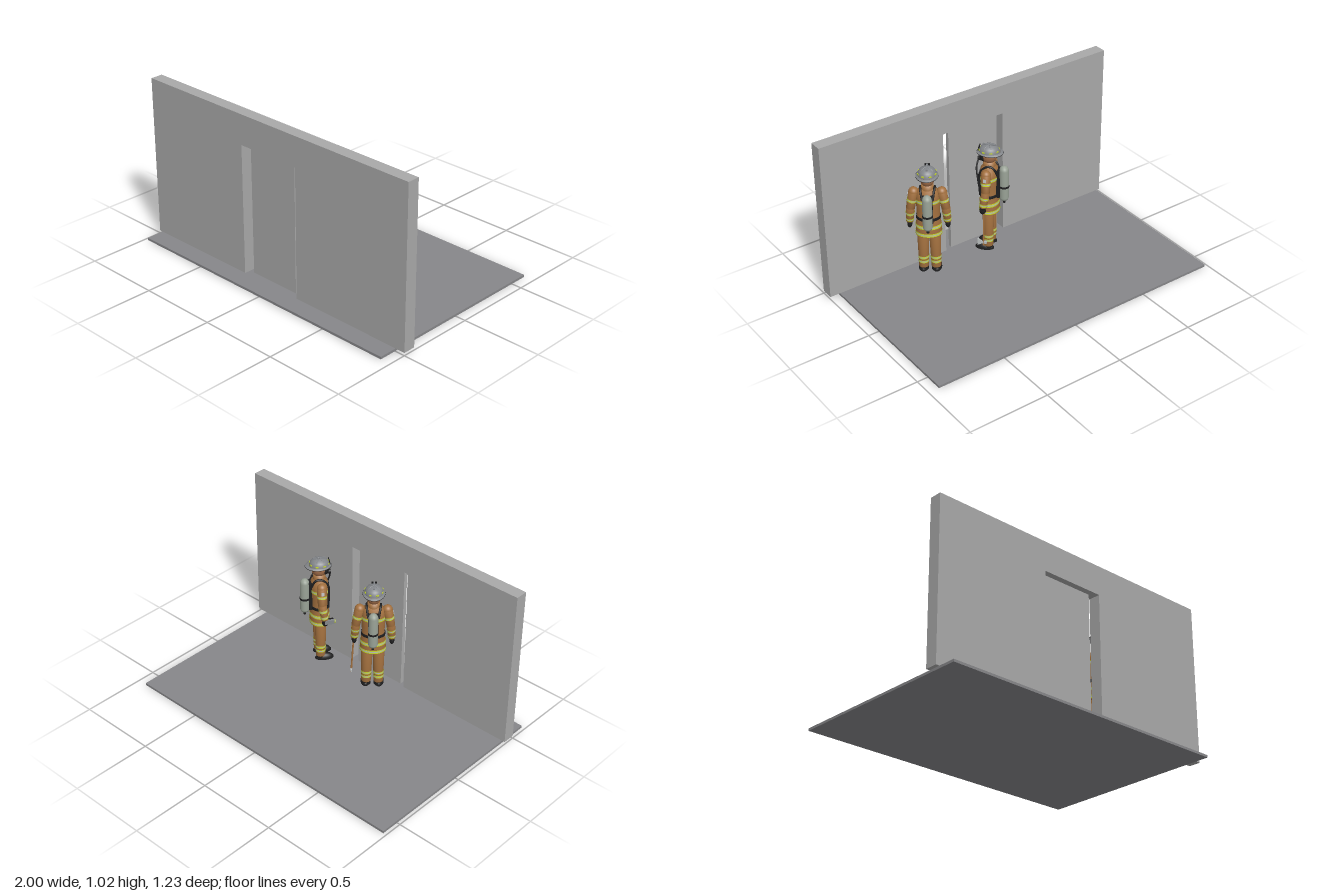
import * as THREE from 'three';

const paint = (name, color) => {
  const m = new THREE.MeshStandardMaterial({ color });
  m.name = name;
  return m;
};
const M = {
  wall: paint('wall grey', 0xa9a9a9),
  floor: paint('floor grey', 0x87878a),
  tan: paint('coat tan', 0xa4713f),
  skin: paint('skin brown', 0xa06c48),
  black: paint('black', 0x1f1f20),
  lime: paint('reflective lime', 0xc6d92a),
  silver: paint('reflective silver', 0xb9bdbd),
  helmet: paint('helmet grey', 0x84878b),
  tank: paint('tank green grey', 0x9aa397),
};
M.silver.side = M.lime.side = THREE.DoubleSide;

function add(parent, name, geo, mat, x = 0, y = 0, z = 0) {
  const mesh = new THREE.Mesh(geo, mat);
  mesh.name = name;
  mesh.position.set(x, y, z);
  parent.add(mesh);
  return mesh;
}
const box = (w, h, d) => new THREE.BoxGeometry(w, h, d);
const V = (x, y, z) => new THREE.Vector3(x, y, z);

// Lathe with an oval cross-section
const oval = (pts, sx = 1, sz = 1) =>
  new THREE.LatheGeometry(pts.map(p => new THREE.Vector2(p[0], p[1])), 32).scale(sx, 1, sz);

// Radius of a profile at height y
function radiusAt(pts, y) {
  for (let i = 1; i < pts.length; i++) {
    const [r0, y0] = pts[i - 1], [r1, y1] = pts[i];
    if (y <= y1 && y1 > y0) return r0 + (r1 - r0) * (y - y0) / (y1 - y0);
  }
  return pts[pts.length - 1][0];
}

// Lime, silver, lime reflective trim around a profile
function trim(parent, pts, y, h, sx, sz) {
  [M.lime, M.silver, M.lime].forEach((mat, i) => {
    const a = y + (i - 1.5) * h / 3, b = a + h / 3;
    const out = 0.0016 / sx;
    add(parent, 'reflectiveTrim',
      oval([[radiusAt(pts, a) + out, a], [radiusAt(pts, b) + out, b]], sx, sz), mat);
  });
}

// A group running upward from a to b, holding a tapered limb with trim
function limb(parent, name, a, b, ra, rb, mat, trims = []) {
  const g = new THREE.Group();
  g.name = name;
  g.position.copy(a);
  const dir = b.clone().sub(a), len = dir.length();
  g.quaternion.setFromUnitVectors(V(0, 1, 0), dir.normalize());
  const pts = [[0, 0], [ra, 0], [rb, len], [0, len]];
  add(g, name + 'Sleeve', oval(pts), mat);
  trims.forEach(t => trim(g, [[ra, 0], [rb, len]], t * len, 0.018, 1, 1));
  parent.add(g);
  return g;
}

function headAndHelmet(f) {
  add(f, 'collar', oval([[0.034, 0.575], [0.038, 0.58], [0.036, 0.612], [0, 0.613]]), M.tan);
  add(f, 'head', new THREE.SphereGeometry(1, 28, 20).scale(0.042, 0.052, 0.046), M.skin, 0, 0.648, 0);
  // Breathing mask
  add(f, 'mask', new THREE.SphereGeometry(1, 24, 16).scale(0.034, 0.036, 0.026), M.black, 0, 0.642, 0.032);
  const valve = add(f, 'maskValve', new THREE.CylinderGeometry(0.013, 0.015, 0.018, 20), M.black, 0, 0.622, 0.06);
  valve.rotation.x = Math.PI / 2;
  // Helmet dome with a brim that runs long at the back
  add(f, 'helmetDome', oval([[0.056, 0.674], [0.054, 0.69], [0.046, 0.704], [0.031, 0.715], [0.014, 0.72], [0, 0.721]], 1, 1.1), M.helmet);
  add(f, 'helmetBrim', oval([[0, 0.67], [0.066, 0.67], [0.067, 0.673], [0.055, 0.679]], 0.98, 1.2), M.helmet, 0, 0, -0.006);
  add(f, 'brimEdge', new THREE.TorusGeometry(0.066, 0.002, 8, 40).rotateX(Math.PI / 2).scale(0.98, 1, 1.2), M.black, 0, 0.671, -0.006);
  // Ridges over the dome
  for (let i = 0; i < 3; i++) {
    const ridge = new THREE.TorusGeometry(0.05, 0.003, 8, 28, Math.PI).scale(1.06, 0.94, 1.1);
    const r = add(f, 'helmetRidge', ridge, M.helmet, 0, 0.676, 0);
    r.rotation.y = Math.PI / 2 + (i - 1) * Math.PI / 3;
  }
  add(f, 'helmetCrest', box(0.01, 0.008, 0.075), M.helmet, 0, 0.721, 0);
  add(f, 'helmetShield', box(0.03, 0.034, 0.005), M.black, 0, 0.695, 0.061).rotation.x = -0.25;
  for (let i = 0; i < 8; i++) {
    const a = (i + 0.5) * Math.PI / 4;
    const tab = add(f, 'helmetSticker', box(0.017, 0.007, 0.004), M.lime, Math.sin(a) * 0.0545, 0.688, Math.cos(a) * 0.06);
    tab.rotation.y = a;
  }
}

function firefighter(name) {
  const f = new THREE.Group();
  f.name = name;

  // Coat with flared skirt
  const coat = [[0.9, 0.272], [1, 0.272], [0.96, 0.345], [0.86, 0.39], [0.88, 0.45], [0.92, 0.52], [0.82, 0.565], [0.45, 0.592], [0, 0.595]];
  const sx = 0.078, sz = 0.062;
  add(f, 'coat', oval([[0, 0.272], ...coat], sx, sz), M.tan);
  [0.288, 0.338, 0.508].forEach(y => trim(f, coat.slice(1), y, 0.022, sx, sz));
  add(f, 'belt', oval([[0.88, 0.382], [0.93, 0.383], [0.93, 0.4], [0.88, 0.401]], sx, sz), M.black);
  add(f, 'coatClosure', box(0.014, 0.17, 0.006), M.black, 0, 0.46, 0.054);

  for (const s of [1, -1]) {
    // Trouser leg and boot
    limb(f, 'leg', V(s * 0.037, 0.04, 0), V(s * 0.035, 0.3, 0), 0.029, 0.036, M.tan, [0.16, 0.27]);
    add(f, 'bootShaft', new THREE.CylinderGeometry(0.026, 0.028, 0.04, 24), M.black, s * 0.037, 0.037, 0);
    add(f, 'bootFoot', new THREE.SphereGeometry(1, 24, 14, 0, Math.PI * 2, 0, Math.PI / 2).scale(0.028, 0.034, 0.056), M.black, s * 0.04, 0.018, 0.023);
    add(f, 'bootSole', new THREE.CylinderGeometry(1, 1, 0.008, 28).scale(0.03, 1, 0.058), M.black, s * 0.04, 0.019, 0.023);

    // Arm and glove
    const shoulder = V(s * 0.082, 0.558, 0), elbow = V(s * 0.103, 0.45, -0.002), wrist = V(s * 0.111, 0.35, 0.013);
    add(f, 'shoulder', new THREE.SphereGeometry(0.03, 24, 16), M.tan).position.copy(shoulder);
    add(f, 'elbow', new THREE.SphereGeometry(0.026, 20, 14), M.tan).position.copy(elbow);
    limb(f, 'upperArm', elbow, shoulder, 0.026, 0.03, M.tan, [0.5]);
    limb(f, 'forearm', wrist, elbow, 0.022, 0.026, M.tan, [0.18, 0.62]);
    add(f, 'gloveCuff', new THREE.CylinderGeometry(0.018, 0.016, 0.02, 20), M.black, s * 0.111, 0.345, 0.013);
    add(f, 'glove', new THREE.SphereGeometry(1, 20, 14).scale(0.015, 0.026, 0.02), M.black, s * 0.112, 0.328, 0.015);
    const patch = add(f, 'sleevePatch', box(0.003, 0.02, 0.018), M.silver, s * 0.1185, 0.537, 0);
    patch.rotation.z = s * 0.19;

    // Harness strap over the shoulder
    const strap = new THREE.CatmullRomCurve3([
      V(s * 0.03, 0.53, -0.058), V(s * 0.04, 0.585, -0.03), V(s * 0.042, 0.59, 0.005),
      V(s * 0.042, 0.545, 0.047), V(s * 0.045, 0.47, 0.049), V(s * 0.048, 0.395, 0.046)]);
    add(f, 'harnessStrap', new THREE.TubeGeometry(strap, 24, 0.007, 8), M.black);
  }

  // Air tank on its back plate
  add(f, 'backPlate', box(0.06, 0.185, 0.022), M.black, 0, 0.467, -0.057);
  add(f, 'airTank', oval([[0, 0.345], [0.012, 0.347], [0.023, 0.355], [0.029, 0.37], [0.029, 0.555], [0.024, 0.572], [0.013, 0.582], [0, 0.584]]), M.tank, 0, 0, -0.09);
  add(f, 'tankBand', new THREE.CylinderGeometry(0.0305, 0.0305, 0.013, 32), M.black, 0, 0.447, -0.09);
  add(f, 'tankValve', new THREE.CylinderGeometry(0.008, 0.008, 0.02, 16), M.black, 0, 0.341, -0.09);
  const hose = new THREE.CatmullRomCurve3([V(0, 0.62, 0.064), V(0.03, 0.575, 0.07), V(0.055, 0.5, 0.056), V(0.06, 0.41, 0.04)]);
  add(f, 'airHose', new THREE.TubeGeometry(hose, 20, 0.005, 8), M.black);

  headAndHelmet(f);
  return f;
}

// Axe hanging head-down
function axe() {
  const g = new THREE.Group();
  g.name = 'axe';
  add(g, 'axeHandle', new THREE.CylinderGeometry(0.005, 0.005, 0.28, 12), M.tan, 0, 0.14, 0);
  const blade = new THREE.Shape([[-0.02, 0.014], [-0.02, 0.028], [0.01, 0.03], [0.036, 0.046], [0.036, -0.002], [0.01, 0.012]]
    .map(p => new THREE.Vector2(p[0], p[1])));
  add(g, 'axeHead', new THREE.ExtrudeGeometry(blade, { depth: 0.009, bevelEnabled: false }).translate(0, 0, -0.0045).rotateY(-Math.PI / 2), M.silver);
  return g;
}

// Box lamp carried in the hand
function lamp() {
  const g = new THREE.Group();
  g.name = 'handLamp';
  add(g, 'lampBody', box(0.022, 0.026, 0.06), M.helmet);
  add(g, 'lampHandle', box(0.007, 0.006, 0.045), M.black, 0, 0.022, 0);
  const lens = add(g, 'lampLens', new THREE.CylinderGeometry(0.011, 0.011, 0.006, 20), M.lime, 0, 0, 0.032);
  lens.rotation.x = Math.PI / 2;
  return g;
}

export function createModel() {
  const root = new THREE.Group();
  root.name = 'doorwayScene';

  add(root, 'floor', box(1.915, 0.015, 1.225), M.floor, -0.0225, 0.0075, 0);

  // Wall with a doorway cut through it
  const shape = new THREE.Shape([[-1, 0.017], [-0.235, 0.017], [-0.235, 0.83], [0.19, 0.83], [0.19, 0.017], [1, 0.017], [1, 1.017], [-1, 1.017]]
    .map(p => new THREE.Vector2(p[0], p[1])));
  add(root, 'wall', new THREE.ExtrudeGeometry(shape, { depth: 0.077, bevelEnabled: false }), M.wall, 0, 0, 0.422);
  add(root, 'door', box(0.345, 0.813, 0.025), M.wall, -0.0275, 0.4235, 0.448);

  // Two firefighters turned toward each other
  const first = firefighter('firefighterAtDoor');
  first.position.set(-0.067, 0, 0.325);
  first.rotation.y = 0.71;
  const tool = axe();
  tool.position.set(0.128, 0.09, 0.008);
  tool.rotation.z = 0.05;
  first.add(tool);

  const second = firefighter('firefighterAtWall');
  second.position.set(0.37, 0, 0.325);
  second.rotation.y = -0.63;
  const light = lamp();
  light.position.set(-0.118, 0.335, 0.04);
  second.add(light);

  root.add(first, second);
  return root;
}
